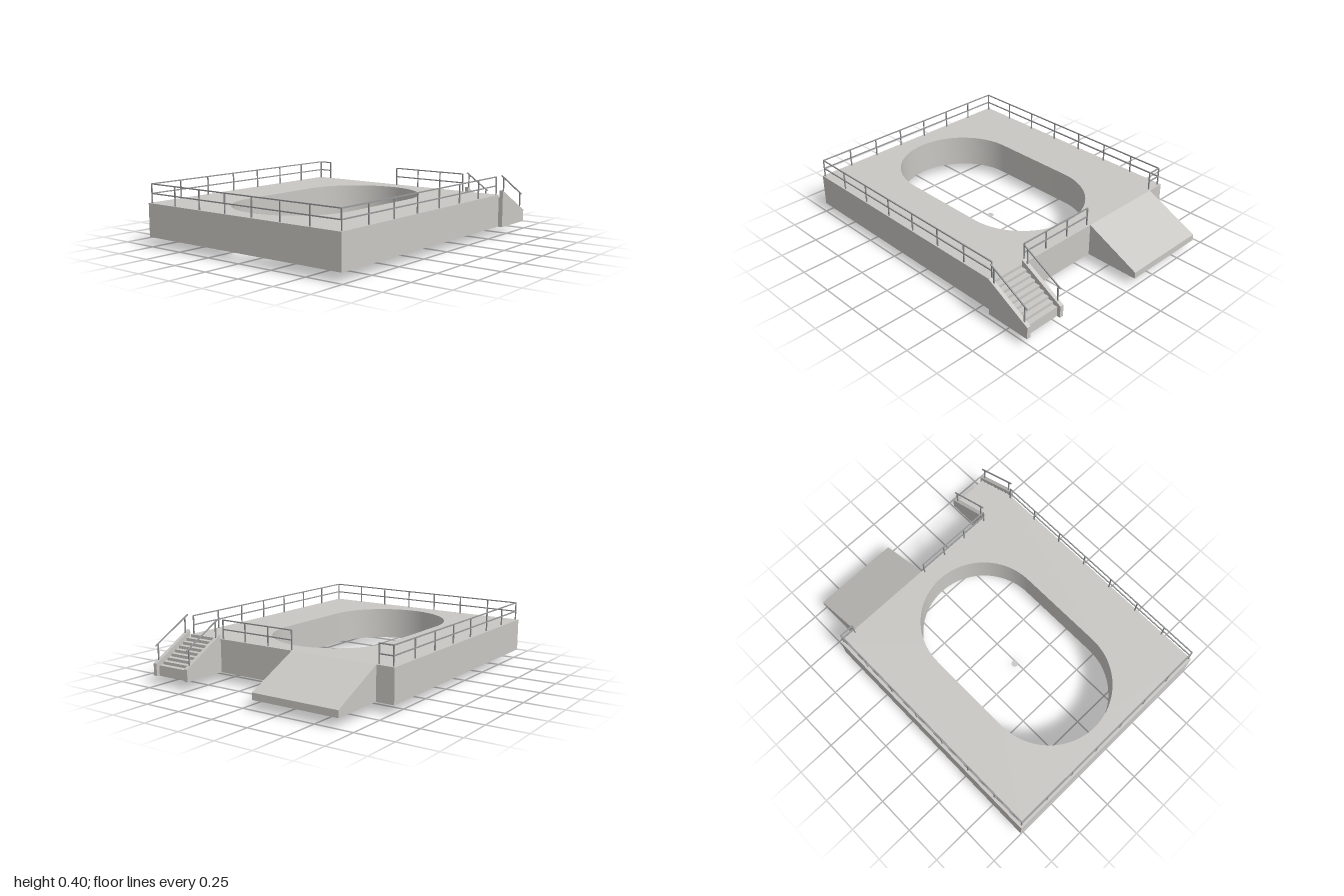
import * as THREE from 'three';
import { toCreasedNormals } from 'three/addons/utils/BufferGeometryUtils.js';

const BASE = 0.06, DECK = 0.272;

export function createModel() {
  const model = new THREE.Group();
  model.name = 'raisedPlatform';
  const concrete = new THREE.MeshStandardMaterial({ color: 0xc9c7c3 });
  concrete.name = 'concrete';
  const steel = new THREE.MeshStandardMaterial({ color: 0x97989a });
  steel.name = 'grey steel';

  const add = (name, geometry, material, parent = model) => {
    const mesh = new THREE.Mesh(geometry, material);
    mesh.name = name;
    parent.add(mesh);
    return mesh;
  };

  // Side profile in x/y, extruded from z0 to z1
  const profile = (name, points, z0, z1) => {
    const shape = new THREE.Shape(points.map(([x, y]) => new THREE.Vector2(x, y)));
    const geometry = new THREE.ExtrudeGeometry(shape, { depth: z1 - z0, bevelEnabled: false });
    return add(name, geometry.translate(0, 0, z0), concrete);
  };

  // Square bar between two points
  const bar = (parent, name, a, b, size = 0.007) => {
    const from = new THREE.Vector3(...a), to = new THREE.Vector3(...b);
    const dir = to.clone().sub(from);
    const mesh = add(name, new THREE.BoxGeometry(size, dir.length(), size), steel, parent);
    mesh.position.copy(from).add(to).multiplyScalar(0.5);
    mesh.quaternion.setFromUnitVectors(new THREE.Vector3(0, 1, 0), dir.normalize());
  };

  // Deck slab with a stadium-shaped opening
  const slab = new THREE.Shape([[-1, -0.773], [0.64, -0.773], [0.64, 0.743], [-1, 0.743]]
    .map(([x, z]) => new THREE.Vector2(x, z)));
  const opening = new THREE.Path();
  const r = 0.405, cz = -0.015;
  opening.absarc(0.111, cz, r, -Math.PI / 2, Math.PI / 2, false);
  opening.absarc(-0.473, cz, r, Math.PI / 2, Math.PI * 1.5, false);
  opening.closePath();
  slab.holes.push(opening);
  const deck = new THREE.ExtrudeGeometry(slab, { depth: DECK - BASE, bevelEnabled: false, curveSegments: 32 });
  deck.rotateX(Math.PI / 2).translate(0, DECK, 0);
  add('deck', toCreasedNormals(deck, 0.5), concrete);

  // Small disc on the floor under the opening
  add('floorDisc', new THREE.CylinderGeometry(0.021, 0.021, 0.001, 24), concrete)
    .position.set(-0.182, 0.0005, cz);

  // Loading ramp
  profile('ramp', [[0.64, BASE], [1, BASE], [1, 0.103], [0.64, DECK]], -0.656, -0.071);

  // Stairs: stepped solid between two stringers
  const steps = 8, run = 0.275 / steps, rise = 0.0185;
  const outline = [[0.64, BASE], [0.915, BASE]];
  for (let i = steps - 1; i >= 0; i--) {
    const y = DECK - rise * (i + 1);
    outline.push([0.64 + run * (i + 1), y], [0.64 + run * i, y]);
  }
  profile('steps', outline, 0.513, 0.748);
  for (const z of [0.488, 0.748]) {
    profile('stringer', [[0.64, BASE], [0.938, BASE], [0.938, 0.138], [0.64, 0.302]], z, z + 0.025);
    const rail = new THREE.Group();
    rail.name = 'stairHandrail';
    model.add(rail);
    const zc = z + 0.0125;
    bar(rail, 'handrail', [0.645, 0.398, zc], [0.925, 0.246, zc]);
    bar(rail, 'upperPost', [0.67, 0.275, zc], [0.67, 0.384, zc]);
    bar(rail, 'lowerPost', [0.905, 0.145, zc], [0.905, 0.257, zc]);
  }

  // Guard rails: evenly spaced posts with a top and a middle rail
  const guardRail = (name, [x0, z0], [x1, z1], bays) => {
    const rail = new THREE.Group();
    rail.name = name;
    model.add(rail);
    for (const y of [0.331, 0.39]) bar(rail, 'rail', [x0, y, z0], [x1, y, z1]);
    for (let i = 0; i <= bays; i++) {
      const t = i / bays, x = x0 + (x1 - x0) * t, z = z0 + (z1 - z0) * t;
      bar(rail, 'post', [x, DECK, z], [x, 0.392, z]);
    }
  };
  const L = -0.984, R = 0.623, B = -0.757, F = 0.732;
  guardRail('frontRail', [L, F], [R, F], 7);
  guardRail('backRail', [L, B], [R, B], 7);
  guardRail('rightRail', [L, B], [L, F], 7);
  guardRail('leftRail', [R, -0.058], [R, 0.48], 3);
  guardRail('leftCornerRail', [R, B], [R, -0.664], 1);

  return model;
}
